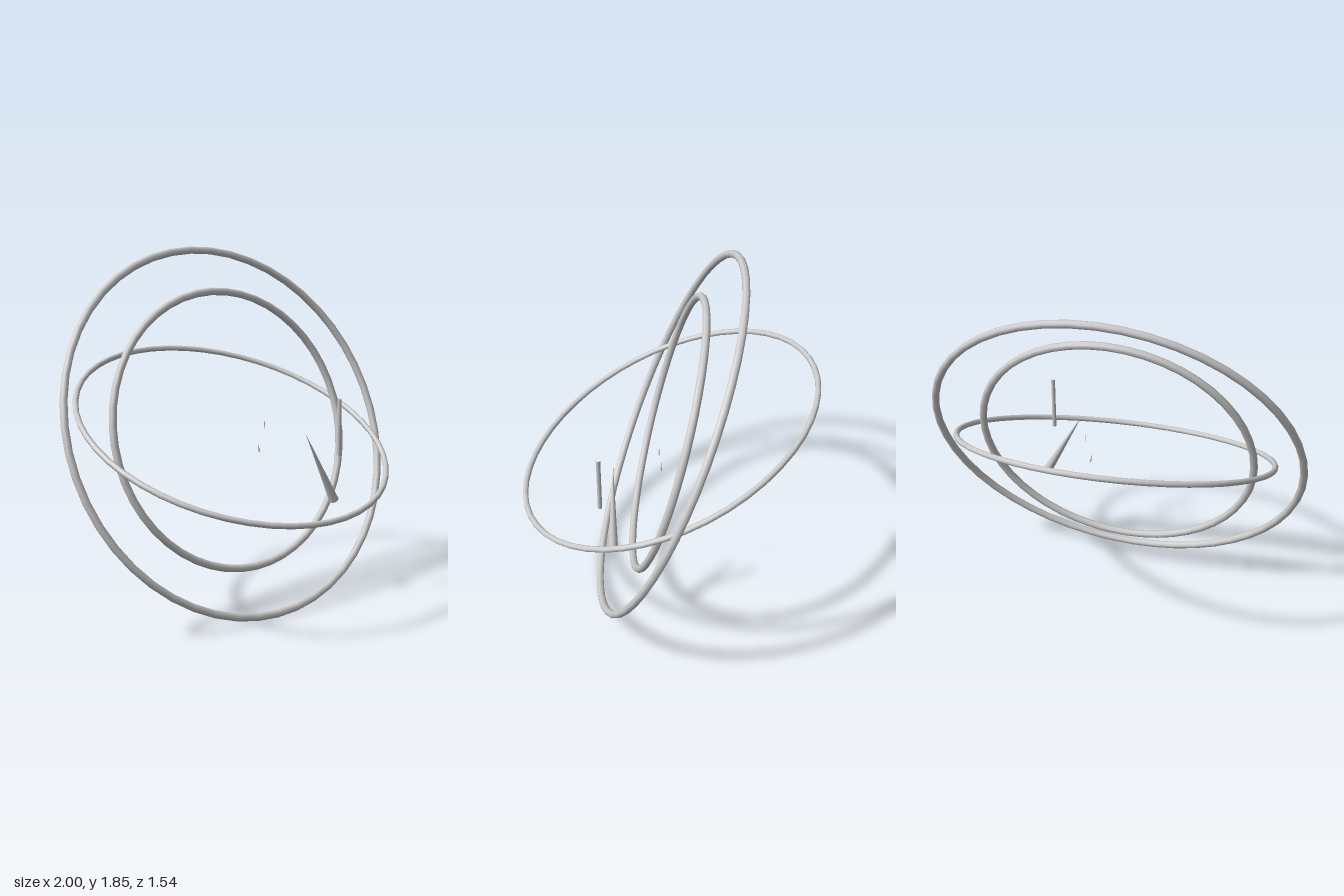
import * as THREE from 'three';

const CENTRE_Y = 0.925;

export function createModel() {
  const model = new THREE.Group();
  const grey = new THREE.MeshStandardMaterial({ color: 0xcccccc });
  grey.name = 'light grey';

  const add = (name, geometry, x, y, z) => {
    const mesh = new THREE.Mesh(geometry, grey);
    mesh.name = name;
    mesh.position.set(x, y, z);
    model.add(mesh);
    return mesh;
  };

  // Three tilted rings sharing one centre: radius, tube radius, tilt in degrees
  const rings = [
    ['outerRing', 0.98, 0.02, -22.5],
    ['innerRing', 0.725, 0.02, -15.3],
    ['orbitRing', 0.83, 0.015, -66],
  ];
  for (const [name, radius, tube, tilt] of rings) {
    const ring = add(name, new THREE.TorusGeometry(radius, tube, 8, 48), 0, CENTRE_Y, 0);
    ring.rotation.x = THREE.MathUtils.degToRad(tilt);
  }

  // Leaning spike, placed by its middle
  const addSpike = (name, radius, length, lean, x, y, z) => {
    const spike = add(name, new THREE.ConeGeometry(radius, length, 12), x, y, z);
    spike.rotation.z = lean;
  };
  addSpike('spike', 0.026, 0.437, 0.488, 0.367, 0.715, 0.27);
  addSpike('smallSpike', 0.005, 0.05, 0.22, 0.145, 0.812, 0.03);

  // Upright open-ended rods
  const addRod = (name, radius, height, x, y, z) =>
    add(name, new THREE.CylinderGeometry(radius, radius, height, 8, 1, true), x, y, z);
  addRod('rod', 0.011, 0.3, 0.442, 0.93, 0.33);
  addRod('smallRod', 0.002, 0.04, 0.176, 0.927, 0.04);

  return model;
}
